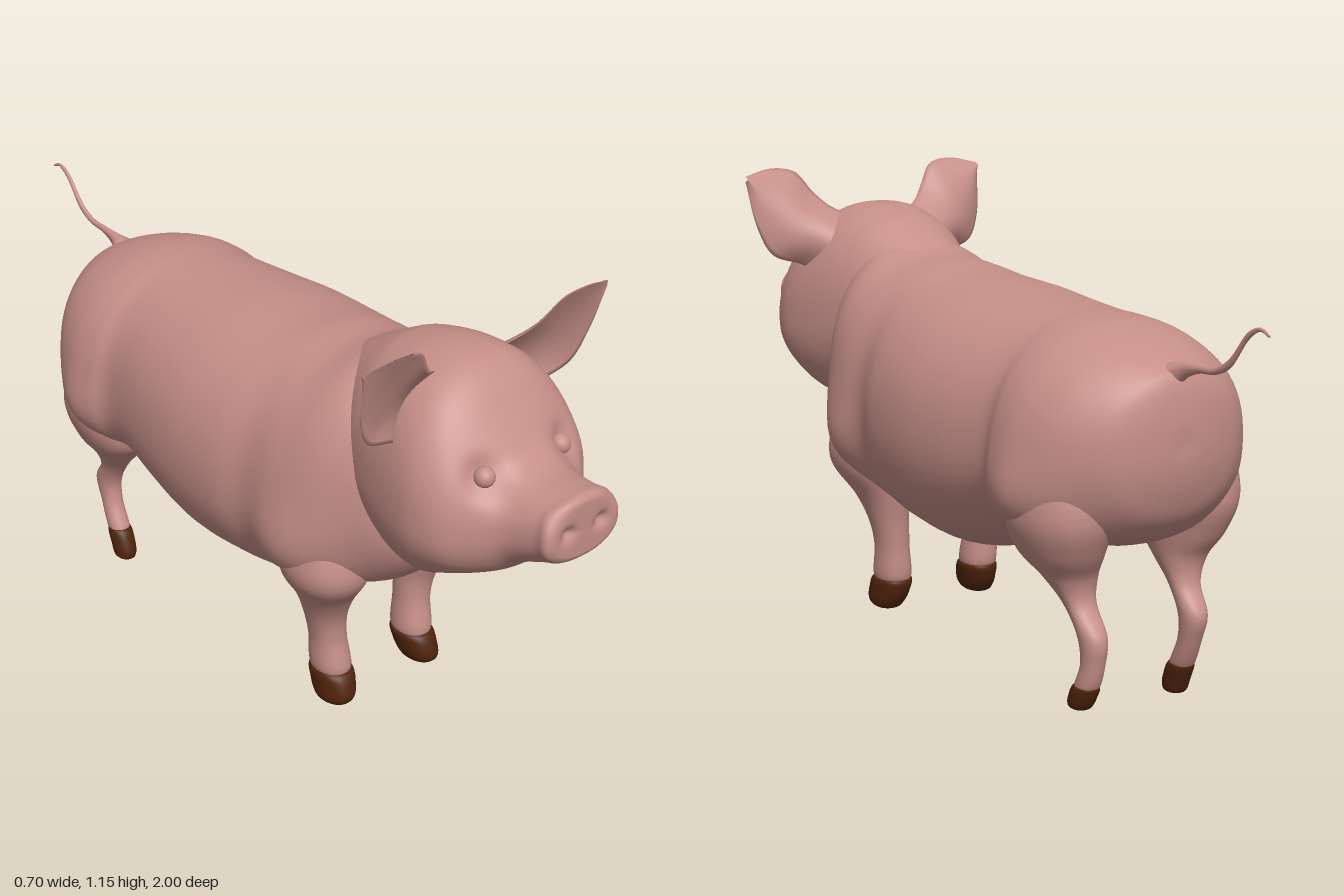
import * as THREE from 'three';

const skin = new THREE.MeshStandardMaterial({ color: 0xc68f88 });
skin.name = 'pink skin';
const horn = new THREE.MeshStandardMaterial({ color: 0x50240c });
horn.name = 'brown hoof';

// Smooth surface from fn(u, v); u wraps round, v runs along the part.
function surface(fn, nu, nv) {
  const pos = [], idx = [];
  for (let i = 0; i <= nv; i++) {
    for (let j = 0; j < nu; j++) {
      pos.push(...fn(j / nu, i / nv));
      if (i === nv) continue;
      const k = (j + 1) % nu;
      const a = i * nu + j, b = i * nu + k, c = b + nu, d = a + nu;
      idx.push(a, b, d, b, c, d);
    }
  }
  const g = new THREE.BufferGeometry();
  g.setAttribute('position', new THREE.Float32BufferAttribute(pos, 3));
  g.setIndex(idx);
  g.computeVertexNormals();
  return g;
}

// Loft through oval sections [t, x, centre, halfWidth, plusRadius, minusRadius].
// axis 'z': t is z, listed back to front; axis 'y': t is y, listed top to bottom.
function loft(sections, axis, { side = 1, sides = 40, power = 0.93, warp = (q) => q } = {}) {
  const first = sections[0], last = sections[sections.length - 1];
  const cap = (s) => [s[0], s[1], s[2], 0, 0, 0];
  const all = [cap(first), ...sections, cap(last)];
  const place = new THREE.CatmullRomCurve3(all.map((s) => new THREE.Vector3(s[0], s[1] * side, s[2])), false, 'catmullrom', 0.5);
  const size = new THREE.CatmullRomCurve3(all.map((s) => new THREE.Vector3(s[3], s[4], s[5])), false, 'catmullrom', 0.5);
  const bend = (n) => Math.sign(n) * Math.abs(n) ** power;
  return surface((u, v) => {
    const p = place.getPoint(v), r = size.getPoint(v);
    const c = Math.cos(u * Math.PI * 2), s = Math.sin(u * Math.PI * 2);
    const across = p.y + bend(c) * Math.max(r.x, 0.0002);
    const along = p.z + bend(s) * Math.max(s > 0 ? r.y : r.z, 0.0002);
    return warp(axis === 'z' ? [across, along, p.x] : [across, p.x, along]);
  }, sides, (all.length - 1) * 7);
}

function add(group, name, geometry, material = skin) {
  const m = new THREE.Mesh(geometry, material);
  m.name = name;
  group.add(m);
  return m;
}

// Soft round falloff: 1 at the centre, fading with the offsets a and b.
const bump = (a, b) => Math.exp(-a * a - b * b);

const bodySections = [
  [-0.73, 0, 0.66, 0.05, 0.06, 0.05],
  [-0.715, 0, 0.66, 0.12, 0.14, 0.12],
  [-0.68, 0, 0.65, 0.19, 0.185, 0.18],
  [-0.6, 0, 0.64, 0.26, 0.232, 0.23],
  [-0.5, 0, 0.62, 0.296, 0.28, 0.22],
  [-0.42, 0, 0.615, 0.297, 0.293, 0.23],
  [-0.35, 0, 0.61, 0.284, 0.3, 0.24],
  [-0.2, 0, 0.6, 0.31, 0.317, 0.285],
  [-0.05, 0, 0.6, 0.325, 0.328, 0.323],
  [0.1, 0, 0.6, 0.318, 0.335, 0.318],
  [0.2, 0, 0.61, 0.292, 0.338, 0.318],
  [0.3, 0, 0.62, 0.288, 0.335, 0.28],
  [0.4, 0, 0.64, 0.265, 0.34, 0.27],
  [0.48, 0, 0.65, 0.222, 0.3, 0.25],
  [0.55, 0, 0.64, 0.17, 0.2, 0.17],
  [0.585, 0, 0.62, 0.08, 0.08, 0.08],
];

// Swell the flanks where the haunches and shoulders flow into the legs.
function swell([x, y, z]) {
  const grow = 0.05 * bump((z + 0.49) / 0.13, (y - 0.46) / 0.13)
    + 0.052 * bump((z - 0.35) / 0.12, (y - 0.45) / 0.14);
  return [x + grow * THREE.MathUtils.clamp(x / 0.16, -1, 1), y, z];
}

const headSections = [
  [0.26, 0, 0.8, 0.09, 0.11, 0.1],
  [0.42, 0, 0.78, 0.175, 0.235, 0.16],
  [0.5, 0, 0.77, 0.205, 0.275, 0.2],
  [0.58, 0, 0.76, 0.225, 0.297, 0.235],
  [0.66, 0, 0.75, 0.238, 0.3, 0.225],
  [0.72, 0, 0.74, 0.238, 0.275, 0.185],
  [0.78, 0, 0.74, 0.218, 0.205, 0.155],
  [0.83, 0, 0.74, 0.17, 0.145, 0.13],
  [0.88, 0, 0.75, 0.125, 0.11, 0.1],
  [0.95, 0, 0.765, 0.108, 0.093, 0.08],
  [0.985, 0, 0.772, 0.11, 0.088, 0.07],
  [0.998, 0, 0.775, 0.097, 0.076, 0.06],
  [1.0, 0, 0.775, 0.075, 0.055, 0.045],
];

// Press in the nostrils and the eye sockets.
function dentFace([x, y, z]) {
  const ax = Math.abs(x);
  const nostril = z > 0.97 ? 0.016 * bump((ax - 0.048) / 0.017, (y - 0.783) / 0.016) : 0;
  const socket = z > 0.7 ? 0.028 * bump((ax - 0.115) / 0.04, (y - 0.857) / 0.04) : 0;
  return [x, y, z - nostril - socket];
}

const foreleg = [
  [0.7, 0.14, 0.34, 0.04, 0.04, 0.04],
  [0.6, 0.16, 0.34, 0.08, 0.09, 0.09],
  [0.5, 0.178, 0.35, 0.095, 0.12, 0.115],
  [0.42, 0.176, 0.36, 0.095, 0.112, 0.11],
  [0.34, 0.155, 0.342, 0.066, 0.075, 0.08],
  [0.27, 0.143, 0.328, 0.05, 0.055, 0.055],
  [0.2, 0.135, 0.328, 0.043, 0.048, 0.05],
  [0.11, 0.13, 0.335, 0.043, 0.053, 0.053],
];
const foreHoof = [
  [0.112, 0.13, 0.335, 0.0445, 0.0545, 0.0545],
  [0.075, 0.133, 0.345, 0.046, 0.068, 0.06],
  [0.045, 0.137, 0.352, 0.041, 0.062, 0.05],
  [0.03, 0.139, 0.352, 0.028, 0.04, 0.034],
];

// Hind leg; step moves the foot forward, drop lowers it.
const hindLeg = (step, drop) => [
  [0.74, 0.15, -0.5, 0.04, 0.04, 0.04],
  [0.66, 0.16, -0.5, 0.08, 0.08, 0.1],
  [0.57, 0.172, -0.495, 0.108, 0.11, 0.14],
  [0.48, 0.176, -0.495, 0.114, 0.115, 0.15],
  [0.4, 0.17, -0.5, 0.092, 0.11, 0.115],
  [0.34, 0.155, -0.52, 0.062, 0.07, 0.06],
  [0.28, 0.147, -0.548, 0.038, 0.04, 0.032],
  [0.215, 0.145, -0.592 + step * 0.2, 0.032, 0.036, 0.038],
  [0.15, 0.146, -0.598 + step * 0.5, 0.027, 0.03, 0.029],
  [0.09 - drop * 0.4, 0.15, -0.58 + step * 0.85, 0.026, 0.03, 0.029],
];
const hindHoof = (step, drop) => [
  [0.095 - drop * 0.4, 0.15, -0.58 + step * 0.85, 0.028, 0.032, 0.031],
  [0.065 - drop * 0.8, 0.152, -0.568 + step, 0.03, 0.036, 0.034],
  [0.045 - drop, 0.153, -0.562 + step, 0.027, 0.034, 0.028],
  [0.037 - drop, 0.153, -0.56 + step, 0.018, 0.024, 0.02],
];

// Cupped ear: two sheets between an upper and a lower rim curve.
function earGeometry(side) {
  const rim = (pts) => new THREE.CatmullRomCurve3(pts.map((p) => new THREE.Vector3(...p)));
  const upper = rim([[0.05, 1.015, 0.61], [0.125, 1.045, 0.645], [0.165, 1.085, 0.675], [0.205, 1.137, 0.697], [0.27, 1.149, 0.703], [0.35, 1.133, 0.692]]);
  const lower = rim([[0.16, 0.86, 0.6], [0.22, 0.9, 0.632], [0.3, 0.93, 0.645], [0.335, 1.0, 0.66], [0.352, 1.12, 0.69]]);
  return surface((u, v) => {
    const w = side > 0 ? u : (1 - u) % 1;
    const back = w > 0.5;
    const t = back ? 2 - 2 * w : 2 * w;
    const p = upper.getPoint(v).lerp(lower.getPoint(v), t);
    const arch = Math.sin(Math.PI * t);
    p.z -= arch * (0.035 * (1 - v) + (back ? 0.012 + 0.04 * (1 - v) : 0));
    return [p.x * side, p.y, p.z];
  }, 40, 24);
}

export function createModel() {
  const pig = new THREE.Group();
  pig.name = 'pig';
  add(pig, 'body', loft(bodySections, 'z', { sides: 64, warp: swell }));
  add(pig, 'head', loft(headSections, 'z', { sides: 72, power: 0.88, warp: dentFace }));

  // Tail, tip to root
  add(pig, 'tail', loft([
    [-1.0, 0, 0.943, 0.002, 0.003, 0.003],
    [-0.97, 0, 0.953, 0.004, 0.004, 0.005],
    [-0.93, 0, 0.93, 0.005, 0.009, 0.009],
    [-0.88, 0, 0.87, 0.006, 0.011, 0.011],
    [-0.83, 0, 0.842, 0.007, 0.008, 0.008],
    [-0.77, 0, 0.836, 0.008, 0.009, 0.01],
    [-0.72, 0, 0.828, 0.014, 0.015, 0.025],
    [-0.68, 0, 0.81, 0.035, 0.028, 0.05],
    [-0.62, 0, 0.77, 0.07, 0.05, 0.05],
  ], 'z', { sides: 16, power: 1 }));

  for (const side of [1, -1]) {
    const label = side > 0 ? 'left' : 'right';
    const step = side > 0 ? 0 : 0.05, drop = side > 0 ? 0 : 0.035;
    add(pig, label + 'Ear', earGeometry(side));
    const eye = add(pig, label + 'Eye', new THREE.SphereGeometry(0.024, 20, 14));
    eye.position.set(side * 0.112, 0.857, 0.806);
    add(pig, label + 'ForeLeg', loft(foreleg, 'y', { side }));
    add(pig, label + 'ForeHoof', loft(foreHoof, 'y', { side }), horn);
    add(pig, label + 'HindLeg', loft(hindLeg(step, drop), 'y', { side }));
    add(pig, label + 'HindHoof', loft(hindHoof(step, drop), 'y', { side }), horn);
  }
  return pig;
}
